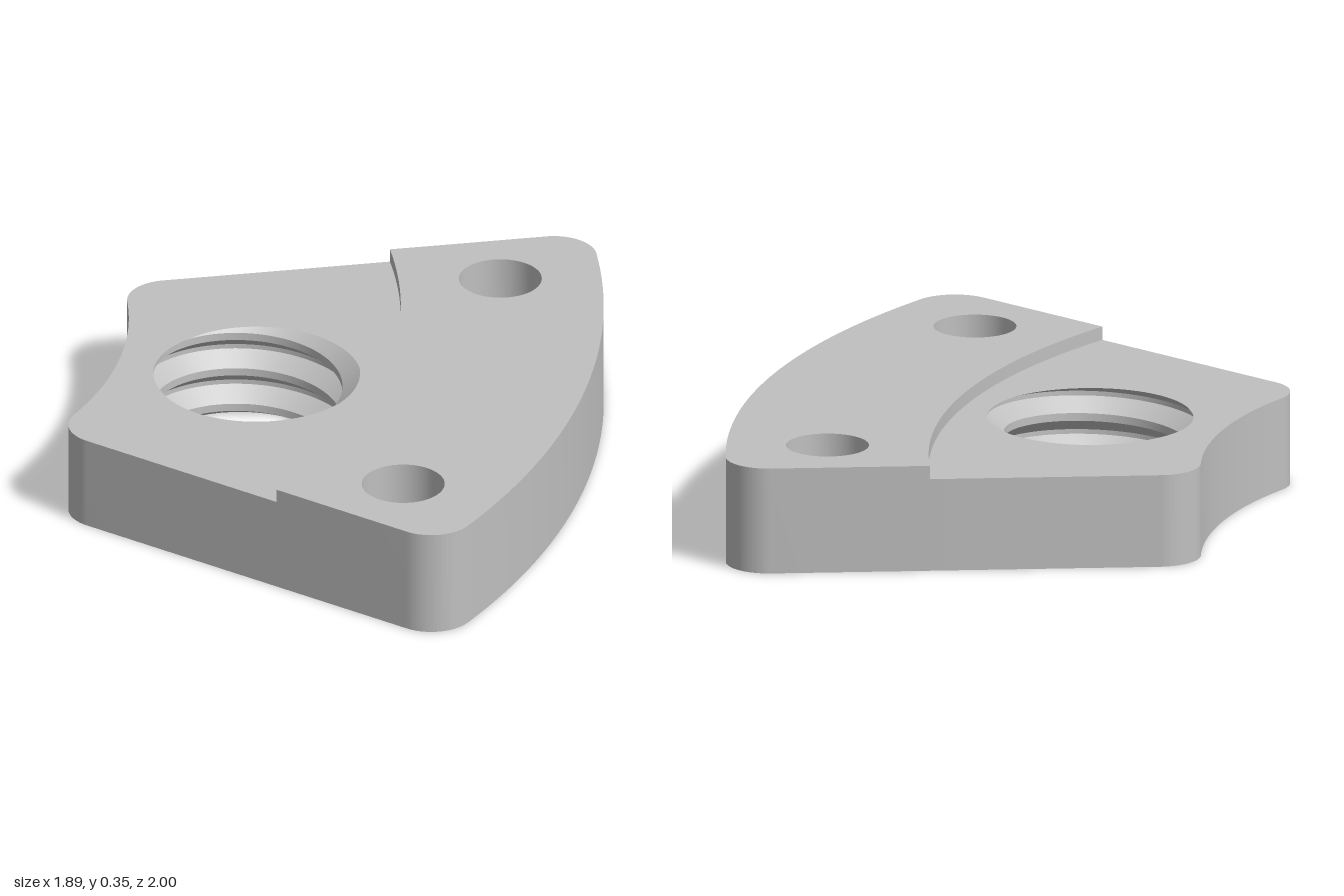
import * as THREE from 'three';
import { toCreasedNormals } from 'three/addons/utils/BufferGeometryUtils.js';

const CX = -1.97, CY = -1;              // sector centre in plan (plan y = -z)
const SPAN = Math.PI / 4;
const R_IN = 1.375, R_STEP = 2.26, R_OUT = 2.92, FILLET = 0.14;
const LAND_H = 0.31, PAD_H = 0.355;
const BORE = { x: -0.303, y: -0.31, r: 0.308, depth: 0.057, pitch: 0.13, start: 0.35 };
const SEG = 96, TAU = Math.PI * 2;

// Ring sector outline with optional rounded inner / outer corners
function sector(rIn, rOut, roundIn, roundOut) {
  const s = new THREE.Shape();
  const corner = (dist, ang, a0, a1) =>
    s.absarc(CX + dist * Math.cos(ang), CY + dist * Math.sin(ang), FILLET, a0, a1, false);
  const q = Math.PI / 2;
  const a = roundOut ? Math.asin(FILLET / (rOut - FILLET)) : 0;
  if (roundOut) corner(rOut - FILLET, a, -q, a);
  s.absarc(CX, CY, rOut, a, SPAN - a, false);
  if (roundOut) corner(rOut - FILLET, SPAN - a, SPAN - a, SPAN + q);
  const b = roundIn ? Math.asin(FILLET / (rIn + FILLET)) : 0;
  if (roundIn) corner(rIn + FILLET, SPAN - b, SPAN + q, SPAN - b + Math.PI);
  s.absarc(CX, CY, rIn, SPAN - b, b, true);
  if (roundIn) corner(rIn + FILLET, b, Math.PI + b, 3 * q);
  return s;
}

function extrudeUp(shape, depth) {
  const g = new THREE.ExtrudeGeometry(shape, { depth, bevelEnabled: false, curveSegments: 32 });
  return g.rotateX(-Math.PI / 2);
}

// Radius of the threaded bore at a given angle and height
function boreRadius(theta, y) {
  const t = (theta - BORE.start) / TAU - (y - LAND_H) / BORE.pitch;
  const d = Math.abs(t - Math.round(t));
  return BORE.r + BORE.depth * THREE.MathUtils.clamp((0.4 - d) / 0.34, 0, 1);
}

// Lower land: the bore wall is dropped and its rims follow the thread
function landGeometry() {
  const shape = sector(R_IN, R_STEP, true, false);
  const ring = [];
  for (let i = 0; i < SEG; i++) {
    const a = -TAU * i / SEG, r = boreRadius(a, LAND_H);
    ring.push(new THREE.Vector2(BORE.x + r * Math.cos(a), BORE.y + r * Math.sin(a)));
  }
  shape.holes.push(new THREE.Path(ring));
  const full = extrudeUp(shape, LAND_H).getAttribute('position');
  const g = new THREE.BufferGeometry();
  const pos = new THREE.BufferAttribute(full.array.slice(0, (full.count - 6 * SEG) * 3), 3);
  for (let i = 0; i < pos.count; i++) {
    const dx = pos.getX(i) - BORE.x, dy = -pos.getZ(i) - BORE.y;
    if (Math.hypot(dx, dy) > 0.37) continue;
    const a = Math.atan2(dy, dx), r = boreRadius(a, pos.getY(i));
    pos.setX(i, BORE.x + r * Math.cos(a));
    pos.setZ(i, -BORE.y - r * Math.sin(a));
  }
  g.setAttribute('position', pos);
  return toCreasedNormals(g, 0.5);
}

// Helical groove: rows run along the edges of the thread, trimmed at both faces
function threadGeometry() {
  const rows = [];
  for (let k = 4; k >= -1; k--) for (const e of [0.4, 0.06, -0.06, -0.4]) rows.push(k + e);
  const pts = [], index = [], n = rows.length;
  for (let i = 0; i <= SEG; i++) {
    const a = TAU * i / SEG;
    for (const t of rows) {
      const free = LAND_H + BORE.pitch * ((a - BORE.start) / TAU - t);
      const y = THREE.MathUtils.clamp(free, 0, LAND_H), r = boreRadius(a, y);
      pts.push(BORE.x + r * Math.cos(a), y, -BORE.y - r * Math.sin(a));
    }
  }
  const height = (i) => pts[i * 3 + 1];
  for (let i = 0; i < SEG; i++) {
    for (let j = 0; j < n - 1; j++) {
      const a = i * n + j, b = a + n, c = a + 1, d = b + 1;
      if (height(a) !== height(c)) index.push(a, c, b);
      if (height(b) !== height(d)) index.push(b, c, d);
    }
  }
  const g = new THREE.BufferGeometry();
  g.setAttribute('position', new THREE.Float32BufferAttribute(pts, 3));
  g.setIndex(index);
  return toCreasedNormals(g, 0.5);
}

// Raised outer pad with two plain bolt holes
function padGeometry() {
  const shape = sector(R_STEP, R_OUT, false, true);
  for (const [x, z] of [[0.04, -0.635], [0.605, 0.73]]) {
    const hole = new THREE.Path();
    hole.absarc(x, -z, 0.135, 0, TAU, true);
    shape.holes.push(hole);
  }
  return toCreasedNormals(extrudeUp(shape, PAD_H), 0.5);
}

export function createModel() {
  const metal = new THREE.MeshStandardMaterial({ color: 0xc0c0c0 });
  metal.name = 'light grey metal';
  const group = new THREE.Group();
  group.name = 'sectorPlate';
  const add = (name, geometry) => {
    const mesh = new THREE.Mesh(geometry, metal);
    mesh.name = name;
    group.add(mesh);
  };
  add('lowerLand', landGeometry());
  add('threadedBore', threadGeometry());
  add('raisedPad', padGeometry());
  return group;
}
